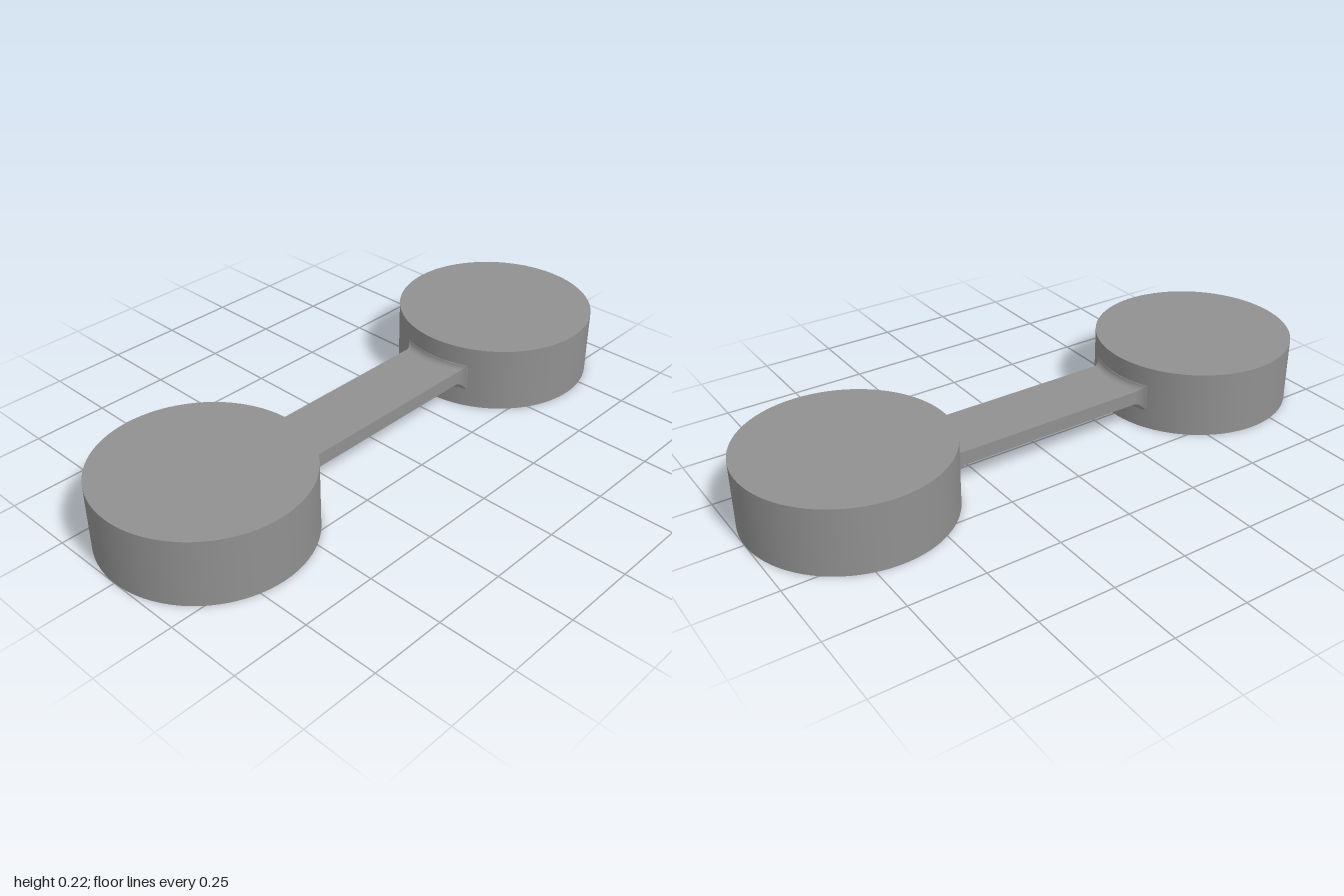
import * as THREE from 'three';

const DISC_X = 2 / 3, DISC_R = 1 / 3, DISC_H = 2 / 9; // discs
const BAR_W = 0.111, BAR_H = 0.0235, FILLET = 0.0222; // bar half sizes, fillet radius
const STEPS = 8;

// Distances from the disc wall for the rows of one bar end, wall first
const rows = [-0.004];
for (let i = 0; i <= STEPS; i++) rows.push(FILLET * (1 - Math.cos((i / STEPS) * Math.PI / 2)));

// Concave flare where the bar meets the disc
function flare(d) {
  const t = FILLET - Math.max(d, 0);
  return FILLET - Math.sqrt(Math.max(FILLET * FILLET - t * t, 0));
}

// One face of the bar: its ends follow the round disc walls
function barFace(isTop) {
  const last = rows.length * 2 - 1, across = 16;
  const geo = new THREE.PlaneGeometry(2, 2, last, across);
  const pos = geo.attributes.position;
  for (let k = 0; k < pos.count; k++) {
    const col = k % (last + 1);
    const side = col < rows.length ? -1 : 1;
    const d = rows[Math.min(col, last - col)];
    const v = pos.getY(k);
    const w = BAR_W + flare(d), h = BAR_H + flare(d);
    const z = isTop ? -v * w : w;
    const y = isTop ? h : v * h;
    const x = side * (DISC_X - Math.sqrt((DISC_R + d) ** 2 - z * z));
    pos.setXYZ(k, x, y, z);
  }
  geo.computeVertexNormals();
  return geo;
}

export function createModel() {
  const model = new THREE.Group();
  model.name = 'dumbbell';
  const grey = new THREE.MeshStandardMaterial({ color: 0x909090 });
  grey.name = 'grey';

  // End discs
  const discGeo = new THREE.CylinderGeometry(DISC_R, DISC_R, DISC_H, 96);
  for (const side of [-1, 1]) {
    const disc = new THREE.Mesh(discGeo, grey);
    disc.name = side > 0 ? 'leftDisc' : 'rightDisc';
    disc.position.set(side * DISC_X, DISC_H / 2, 0);
    model.add(disc);
  }

  // Connecting bar: top and front faces, repeated half a turn round for bottom and back
  const bar = new THREE.Group();
  bar.name = 'bar';
  bar.position.y = DISC_H / 2;
  const faces = [['barTop', 'barBottom', barFace(true)], ['barFront', 'barBack', barFace(false)]];
  for (const [name, opposite, geo] of faces) {
    const face = new THREE.Mesh(geo, grey);
    face.name = name;
    const twin = new THREE.Mesh(geo, grey);
    twin.name = opposite;
    twin.rotation.x = Math.PI;
    bar.add(face, twin);
  }
  model.add(bar);
  return model;
}
